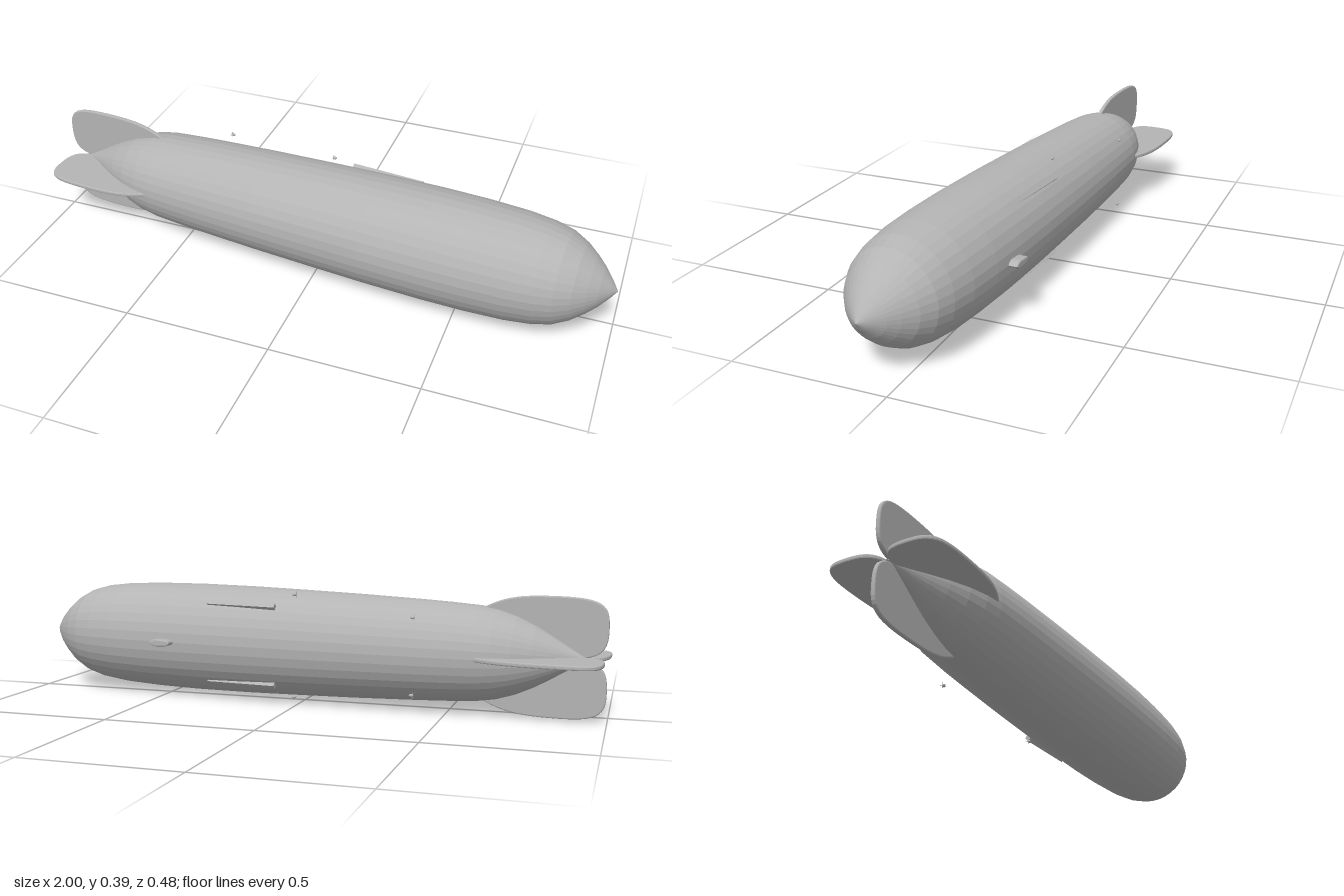
import * as THREE from 'three';

export function createModel() {
  const model = new THREE.Group();
  model.name = 'airship';
  const grey = new THREE.MeshStandardMaterial({ color: 0xb4b4b4 });
  grey.name = 'hull grey';
  grey.flatShading = true;

  // The whole ship lies slightly yawed, its axis along local x, its belly towards -z
  const ship = new THREE.Group();
  ship.name = 'ship';
  ship.position.set(0, 0.2, 0.012);
  ship.rotation.set(0, -0.0714, 0.004);
  model.add(ship);

  const add = (parent, name, geometry) => {
    const mesh = new THREE.Mesh(geometry, grey);
    mesh.name = name;
    parent.add(mesh);
    return mesh;
  };
  // Group whose +y points away from the axis at the given angle
  const around = (name, x, angleDeg) => {
    const g = new THREE.Group();
    g.name = name;
    g.position.x = x;
    g.rotation.x = THREE.MathUtils.degToRad(angleDeg);
    ship.add(g);
    return g;
  };

  // Hull: radius along the axis, tail to nose
  const profile = [
    [-0.95, 0], [-0.92, 0.014], [-0.88, 0.037], [-0.83, 0.068], [-0.78, 0.097],
    [-0.72, 0.125], [-0.66, 0.144], [-0.6, 0.154], [-0.5, 0.161], [-0.4, 0.166],
    [-0.2, 0.174], [0, 0.18], [0.2, 0.185], [0.4, 0.187], [0.55, 0.185],
    [0.68, 0.179], [0.77, 0.168], [0.83, 0.152], [0.88, 0.125], [0.92, 0.093],
    [0.95, 0.064], [0.98, 0.028], [1, 0],
  ].map(([x, r]) => new THREE.Vector2(r, x));
  add(ship, 'hull', new THREE.LatheGeometry(profile, 36).rotateZ(-Math.PI / 2));

  // Four rounded tail fins
  const fin = new THREE.Shape();
  fin.moveTo(-0.6, 0.1);
  fin.lineTo(-0.61, 0.15);
  fin.bezierCurveTo(-0.68, 0.187, -0.73, 0.192, -0.82, 0.193);
  fin.bezierCurveTo(-0.95, 0.194, -0.995, 0.185, -0.998, 0.12);
  fin.bezierCurveTo(-1.002, 0.04, -0.99, 0.012, -0.92, 0.002);
  fin.lineTo(-0.75, 0.002);
  fin.closePath();
  const finGeometry = new THREE.ExtrudeGeometry(fin, {
    depth: 0.006, bevelThickness: 0.004, bevelSize: 0.004, bevelOffset: -0.004,
    bevelSegments: 2, curveSegments: 12,
  }).translate(0, 0, -0.003);
  for (let i = 0; i < 4; i++) add(around('tailFin', 0, i * 90), 'finBlade', finGeometry);

  // Gondola under the belly, with a pointed bow and rounded stern
  const plan = new THREE.Shape();
  plan.moveTo(0.042, 0);
  plan.quadraticCurveTo(0.032, 0.012, 0.015, 0.012);
  plan.lineTo(-0.02, 0.01);
  plan.quadraticCurveTo(-0.034, 0.008, -0.034, 0);
  plan.quadraticCurveTo(-0.034, -0.008, -0.02, -0.01);
  plan.lineTo(0.015, -0.012);
  plan.quadraticCurveTo(0.032, -0.012, 0.042, 0);
  const gondola = new THREE.ExtrudeGeometry(plan, {
    depth: 0.036, bevelThickness: 0.004, bevelSize: 0.004, bevelOffset: -0.004,
    bevelSegments: 2, curveSegments: 5,
  }).rotateX(-Math.PI / 2);
  add(around('gondola', 0.45, -90), 'gondolaCabin', gondola).position.y = 0.175;

  // Tapered fairings, thick at the aft end and vanishing forward
  const wedge = new THREE.BoxGeometry(0.25, 0.018, 0.018);
  const p = wedge.attributes.position;
  for (let i = 0; i < p.count; i++) {
    const front = p.getX(i) > 0;
    const top = p.getY(i) > 0;
    p.setY(i, front ? (top ? 0.191 : 0.183) : (top ? 0.195 : 0.176));
    if (front) p.setZ(i, p.getZ(i) * 0.3);
  }
  wedge.computeVertexNormals();

  // Engine pods with four-blade propellers
  const pod = new THREE.SphereGeometry(0.005, 10, 8).scale(1.5, 1, 1);
  const blade = new THREE.BoxGeometry(0.0015, 0.02, 0.0015);

  // Mirrored pairs on both sides of the belly
  for (const mirror of [(a) => a, (a) => -180 - a]) {
    add(around('fairing', 0.185, mirror(-45)), 'fairingWedge', wedge);
    for (const [x, angle, r] of [[0.005, -29, 0.197], [-0.42, -52.6, 0.203]]) {
      const engine = around('engine', x, mirror(angle));
      add(engine, 'enginePod', pod).position.y = r;
      for (let i = 0; i < 2; i++) {
        const prop = add(engine, 'propellerBlade', blade);
        prop.position.set(-0.006, r, 0);
        prop.rotation.x = i * Math.PI / 2 - engine.rotation.x;
      }
    }
  }
  return model;
}
